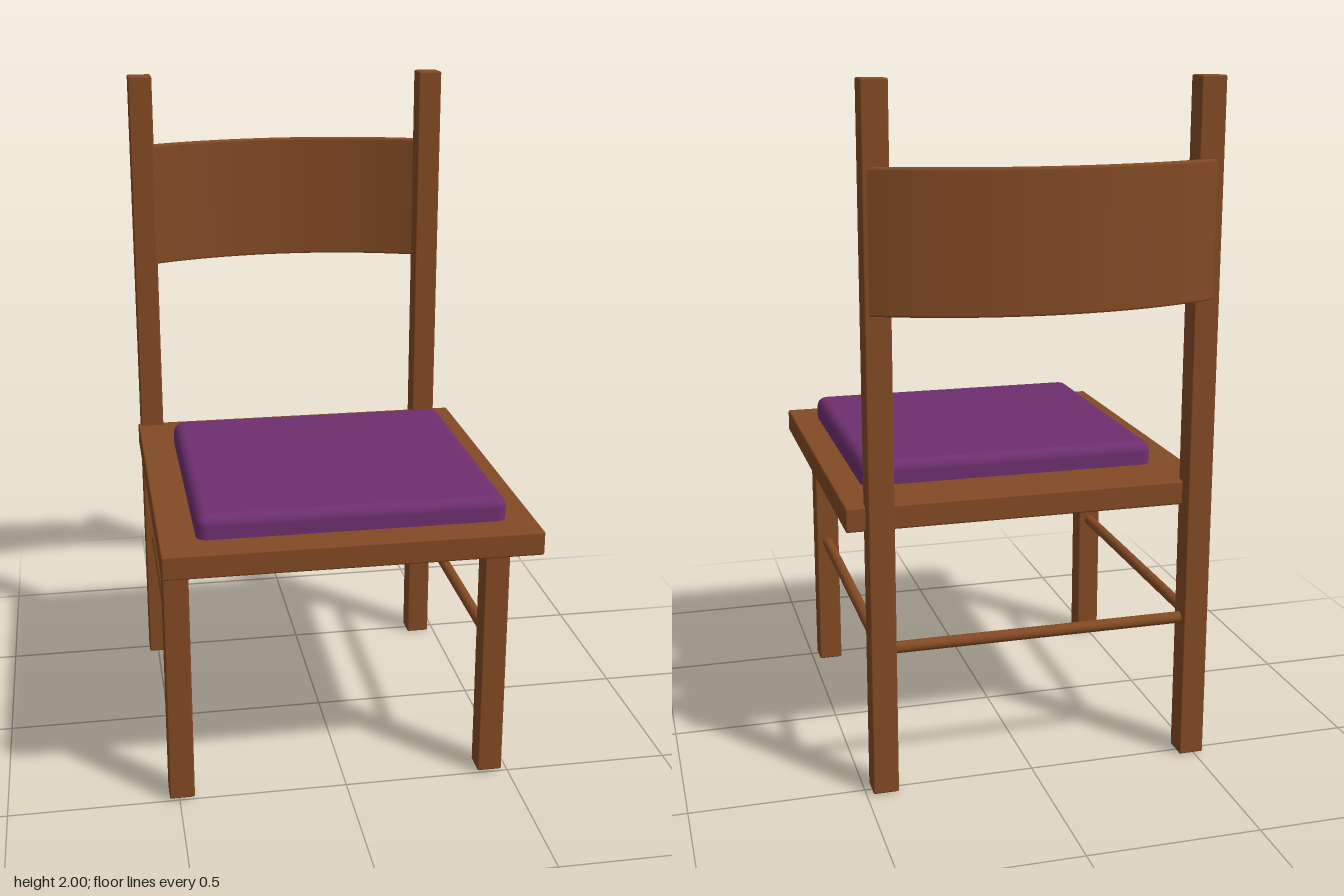
import * as THREE from 'three';
import { RoundedBoxGeometry } from 'three/addons/geometries/RoundedBoxGeometry.js';

export function createModel() {
  const chair = new THREE.Group();
  chair.name = 'chair';

  const wood = new THREE.MeshStandardMaterial({ color: 0x834a24 });
  wood.name = 'brown wood';
  const fabric = new THREE.MeshStandardMaterial({ color: 0x6f2f6f });
  fabric.name = 'purple fabric';

  function add(name, geometry, material) {
    const mesh = new THREE.Mesh(geometry, material);
    mesh.name = name;
    chair.add(mesh);
    return mesh;
  }

  // Rounded block given by its lower and upper corners
  function block(name, min, max, radius, material) {
    const size = max.map((v, i) => v - min[i]);
    const mesh = add(name, new RoundedBoxGeometry(...size, 3, radius), material);
    mesh.position.set(...max.map((v, i) => (v + min[i]) / 2));
    return mesh;
  }

  // Round rod between two points
  function rod(name, from, to) {
    const a = new THREE.Vector3(...from);
    const b = new THREE.Vector3(...to);
    const mesh = add(name, new THREE.CylinderGeometry(0.017, 0.017, a.distanceTo(b), 20), wood);
    mesh.position.copy(a).add(b).multiplyScalar(0.5);
    mesh.quaternion.setFromUnitVectors(new THREE.Vector3(0, 1, 0), b.sub(a).normalize());
  }

  const rodY = 0.428, backZ = -0.497, frontZ = 0.467, half = 0.037;
  const sides = { right: -0.492, left: 0.443 };

  // Back posts, front legs and side stretchers
  for (const [side, x] of Object.entries(sides)) {
    block(`${side}BackPost`, [x - half, 0, backZ - half], [x + half, 2, backZ + half], 0.005, wood);
    block(`${side}FrontLeg`, [x - half, 0.008, frontZ - half], [x + half, 0.79, frontZ + half], 0.005, wood);
    rod(`${side}Stretcher`, [x, rodY, backZ], [x, rodY, frontZ]);
  }
  rod('backStretcher', [sides.right, rodY, backZ], [sides.left, rodY, backZ]);

  // Seat board and cushion
  block('seat', [-0.538, 0.775, -0.489], [0.535, 0.846, 0.645], 0.006, wood);
  block('cushion', [-0.433, 0.8, -0.299], [0.453, 0.915, 0.548], 0.032, fabric);

  // Curved backrest, bowed to the rear
  const centreX = -0.02, centreZ = 0.5, outer = 1.146, inner = 1.115, bevel = 0.005;
  const a0 = Math.PI / 2 - 0.435, a1 = Math.PI / 2 + 0.435;
  const arc = new THREE.Shape();
  arc.absarc(centreX, -centreZ, outer - bevel, a0, a1, false);
  arc.absarc(centreX, -centreZ, inner + bevel, a1, a0, true);
  arc.closePath();
  const backrest = new THREE.ExtrudeGeometry(arc, {
    depth: 0.39 - 2 * bevel, curveSegments: 40,
    bevelEnabled: true, bevelSize: bevel, bevelThickness: bevel, bevelSegments: 2,
  });
  backrest.rotateX(-Math.PI / 2);
  add('backrest', backrest, wood).position.y = 1.385 + bevel;

  return chair;
}
